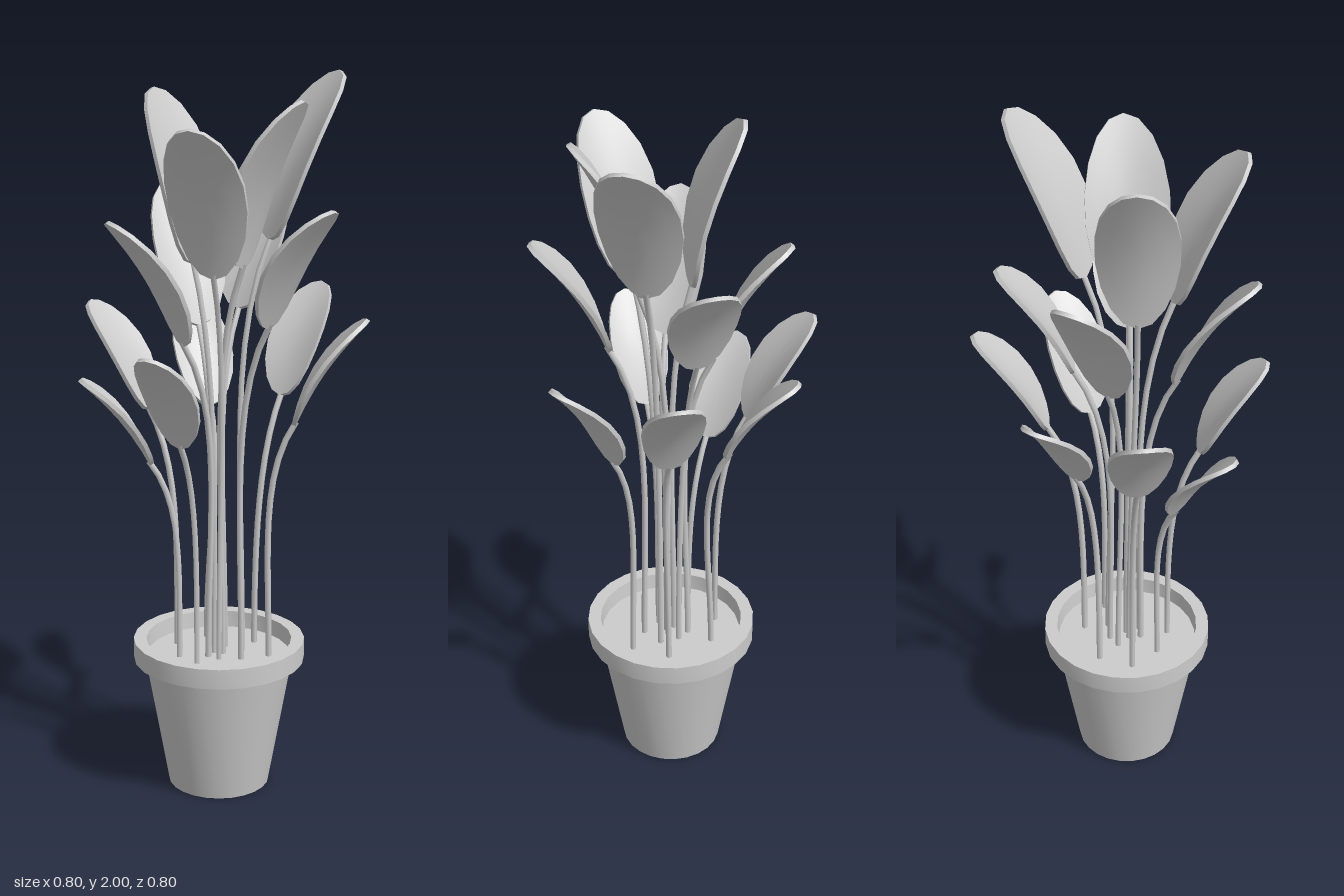
import * as THREE from 'three';
import { toCreasedNormals } from 'three/addons/utils/BufferGeometryUtils.js';

const material = new THREE.MeshStandardMaterial({ color: 0xcccccc });
const CENTER = [0.022, 0.01]; // pot axis (x, z)
const SOIL_Y = 0.385;

// Each leaf: stem foot (x, z), leaf base, leaf tip, width
const LEAVES = [
  // tall leaves
  { foot: [0.07, -0.04], base: [0.12, 1.56, -0.09], tip: [0.235, 2.0, -0.275], width: 0.22 },
  { foot: [0.035, 0.01], base: [0.10, 1.50, 0.025], tip: [0.278, 1.95, 0.03], width: 0.225 },
  { foot: [0.045, 0.05], base: [0.08, 1.49, 0.14], tip: [0.12, 1.9, 0.335], width: 0.215 },
  { foot: [0.01, 0.015], base: [-0.045, 1.5, 0.03], tip: [-0.182, 1.96, 0.01], width: 0.22 },
  // middle leaves
  { foot: [0.015, -0.04], base: [0.0, 1.35, -0.135], tip: [0.015, 1.66, -0.33], width: 0.185 },
  { foot: [0.1, 0.02], base: [0.185, 1.35, 0.035], tip: [0.383, 1.68, 0.06], width: 0.2 },
  { foot: [0.01, 0.05], base: [-0.01, 1.30, 0.14], tip: [-0.125, 1.65, 0.33], width: 0.185 },
  { foot: [-0.02, -0.02], base: [-0.075, 1.31, -0.05], tip: [-0.245, 1.68, -0.175], width: 0.2 },
  // low leaves
  { foot: [0.07, -0.11], base: [0.1, 1.1, -0.2], tip: [0.13, 1.395, -0.395], width: 0.165 },
  { foot: [0.155, -0.04], base: [0.21, 1.06, -0.07], tip: [0.39, 1.36, -0.15], width: 0.17 },
  { foot: [0.02, 0.13], base: [0.02, 1.04, 0.21], tip: [0.025, 1.32, 0.393], width: 0.16 },
  { foot: [-0.06, 0.09], base: [-0.125, 0.95, 0.125], tip: [-0.27, 1.2, 0.255], width: 0.165 },
  { foot: [-0.115, 0.01], base: [-0.2, 1.07, 0.01], tip: [-0.395, 1.36, 0.01], width: 0.17 },
  { foot: [-0.07, -0.08], base: [-0.09, 1.06, -0.14], tip: [-0.235, 1.325, -0.27], width: 0.17 },
];

function addMesh(parent, geometry, name) {
  const mesh = new THREE.Mesh(geometry, material);
  mesh.name = name;
  parent.add(mesh);
  return mesh;
}

function lathe(points, segments, crease) {
  const geometry = new THREE.LatheGeometry(points.map(([r, y]) => new THREE.Vector2(r, y)), segments);
  return toCreasedNormals(geometry, crease);
}

// Thin oval disc, cupped across its width and arched along its length
function leafGeometry(base, tip, width) {
  const t = 0.006;
  const radii = [0, 0.35, 0.7, 1];
  const profile = [...radii.map((r) => [r, -t]), ...radii.reverse().map((r) => [r, t])];
  let geometry = new THREE.LatheGeometry(profile.map(([r, y]) => new THREE.Vector2(r, y)), 18);

  const along = tip.clone().sub(base);
  const length = along.length();
  along.normalize();
  const side = along.clone().cross(new THREE.Vector3(0, 1, 0)).normalize();
  const normal = side.clone().cross(along);

  const pos = geometry.attributes.position;
  const p = new THREE.Vector3();
  for (let i = 0; i < pos.count; i++) {
    const across = pos.getX(i), lift = pos.getY(i), v = pos.getZ(i);
    const bend = 0.05 * length * (1 - v * v) + 0.1 * width * across * across;
    p.copy(base)
      .addScaledVector(along, (v + 1) / 2 * length)
      .addScaledVector(side, across * width / 2)
      .addScaledVector(normal, lift + bend);
    pos.setXYZ(i, p.x, p.y, p.z);
  }
  // side, normal and along form a right-handed frame when side x normal = along
  if (side.clone().cross(normal).dot(along) < 0) {
    const index = geometry.index.array;
    for (let i = 0; i < index.length; i += 3) [index[i], index[i + 1]] = [index[i + 1], index[i]];
  }
  return toCreasedNormals(geometry, 0.8);
}

// Stem rising straight from the soil and bending into its leaf
function stemGeometry(foot, base, tip) {
  const along = tip.clone().sub(base).normalize();
  const start = new THREE.Vector3(foot[0], SOIL_Y - 0.02, foot[1]);
  const height = base.y - start.y;
  const end = base.clone().addScaledVector(along, 0.015);
  const curve = new THREE.CubicBezierCurve3(
    start,
    start.clone().add(new THREE.Vector3(0, height * 0.45, 0)),
    base.clone().addScaledVector(along, -height * 0.25),
    end
  );
  return new THREE.TubeGeometry(curve, 12, 0.0085, 6);
}

export function createModel() {
  const model = new THREE.Group();
  model.name = 'pottedPlant';

  const pot = new THREE.Group();
  pot.name = 'pot';
  pot.position.set(CENTER[0], 0, CENTER[1]);
  model.add(pot);

  // Tapered body, overhanging rim and soil
  addMesh(pot, lathe([[0, 0], [0.143, 0], [0.211, 0.385]], 24, 0.6), 'potBody');
  addMesh(pot, lathe([[0.2, 0.375], [0.241, 0.375], [0.241, 0.432], [0.205, 0.432], [0.2, 0.375]], 24, 0.6), 'potRim');
  const soil = addMesh(pot, new THREE.CircleGeometry(0.207, 24), 'soil');
  soil.rotation.x = -Math.PI / 2;
  soil.position.y = SOIL_Y;

  // Stems with their leaves
  for (const { foot, base, tip, width } of LEAVES) {
    const b = new THREE.Vector3(...base);
    const e = new THREE.Vector3(...tip);
    const frond = new THREE.Group();
    frond.name = 'frond';
    addMesh(frond, stemGeometry(foot, b, e), 'stem');
    addMesh(frond, leafGeometry(b, e, width), 'leaf');
    model.add(frond);
  }
  return model;
}
